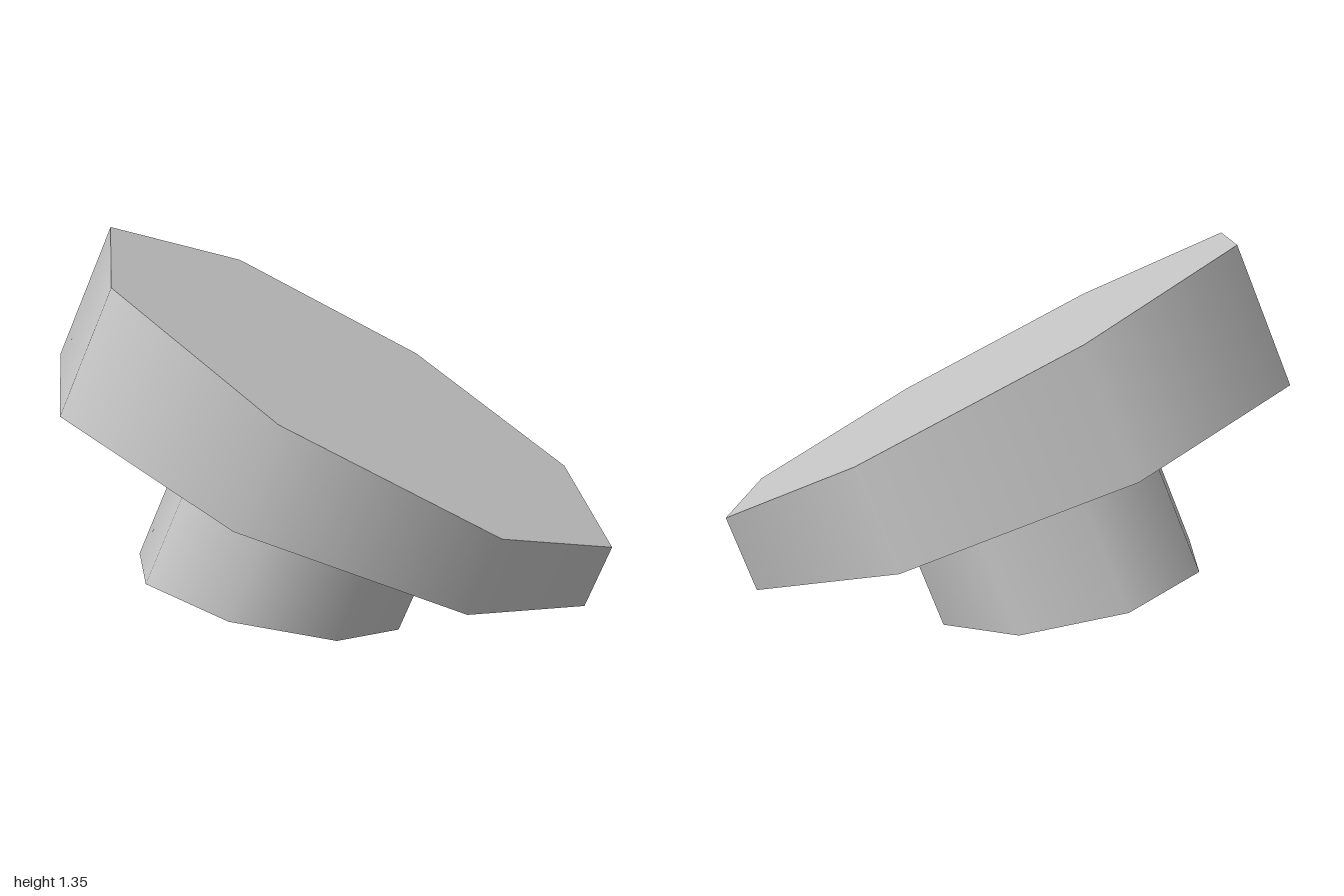
import * as THREE from 'three';

// Octagonal prism whose end faces are planes y = height + slope * x;
// the sides stay smooth, the ends flat.
function cutPrism(radius, bottom, top) {
  const geometry = new THREE.CylinderGeometry(radius, radius, 2, 8);
  const pos = geometry.attributes.position;
  const normal = geometry.attributes.normal;
  for (let i = 0; i < pos.count; i++) {
    const upper = pos.getY(i) > 0;
    const [height, slope] = upper ? top : bottom;
    pos.setY(i, height + slope * pos.getX(i));
    if (Math.abs(normal.getY(i)) > 0.5) {
      const n = new THREE.Vector3(-slope, 1, 0).normalize();
      if (!upper) n.negate();
      normal.setXYZ(i, n.x, n.y, n.z);
    }
  }
  return geometry;
}

export function createModel() {
  const model = new THREE.Group();
  model.name = 'tiltedMushroom';
  const grey = new THREE.MeshStandardMaterial({ color: 0xc8c8c8 });
  grey.name = 'light grey';

  // Tilted frame with its origin where cap and stem meet
  const tilted = new THREE.Group();
  tilted.name = 'tiltedBody';
  tilted.position.set(-0.043, 0.515, 0);
  tilted.rotation.z = THREE.MathUtils.degToRad(-23.4);
  model.add(tilted);

  // Wide cap, thicker on the raised side
  const cap = new THREE.Mesh(cutPrism(1, [0, 0], [0.351, -0.13]), grey);
  cap.name = 'cap';
  tilted.add(cap);

  // Short stem with a slanted foot
  const stem = new THREE.Mesh(cutPrism(0.468, [-0.441, 0.178], [0, 0]), grey);
  stem.name = 'stem';
  tilted.add(stem);

  return model;
}
